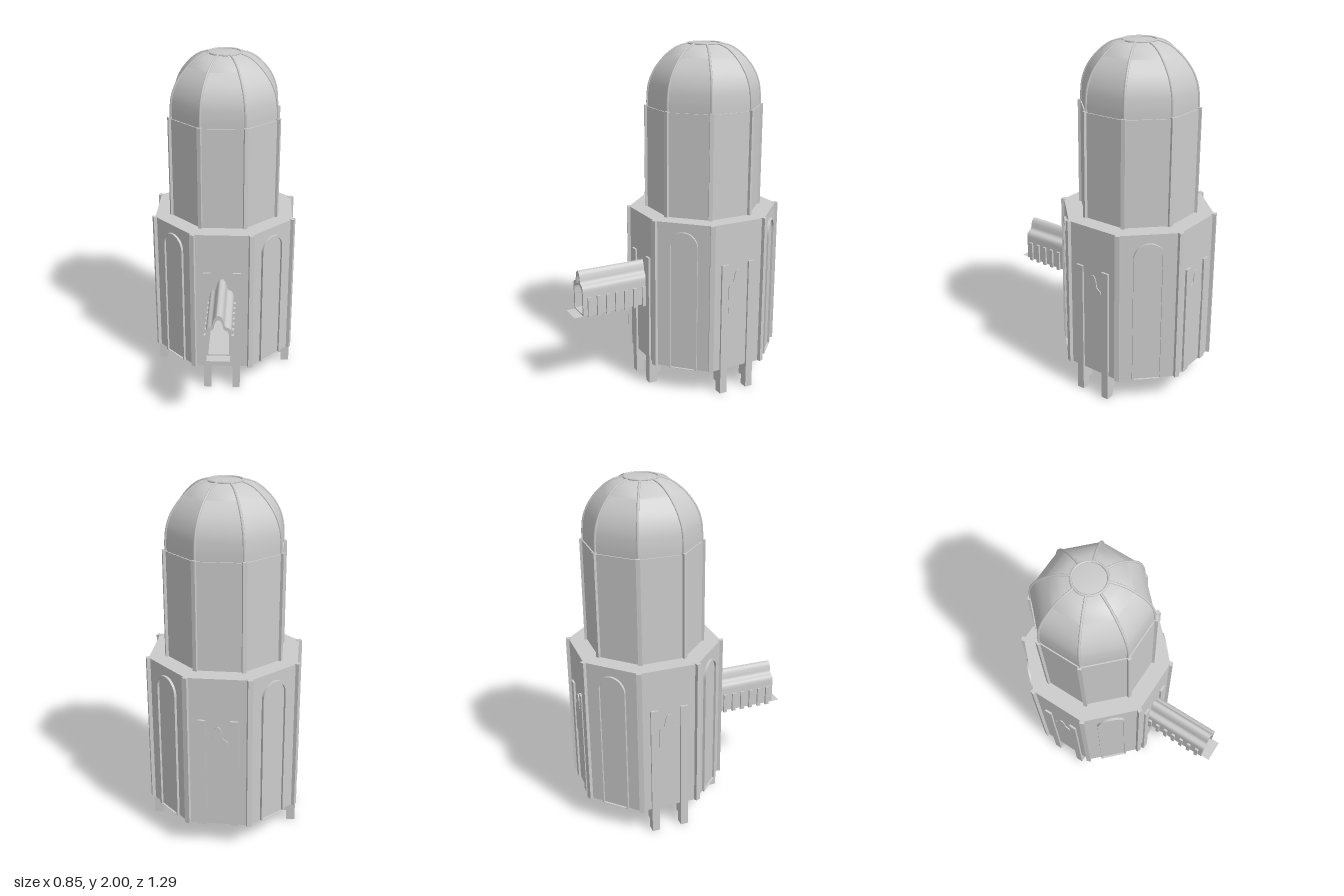
import * as THREE from 'three';
import { toCreasedNormals } from 'three/addons/utils/BufferGeometryUtils.js';

const C8 = Math.cos(Math.PI / 8);
const flat = new THREE.MeshStandardMaterial({ color: 0xcccccc, flatShading: true, side: THREE.DoubleSide });
const smooth = new THREE.MeshStandardMaterial({ color: 0xcccccc, side: THREE.DoubleSide });

function add(parent, name, geometry, material = flat) {
  const mesh = new THREE.Mesh(geometry, material);
  mesh.name = name;
  parent.add(mesh);
  return mesh;
}

// Box given by its limits on each axis
function box(parent, name, x0, x1, y0, y1, z0, z1) {
  const mesh = add(parent, name, new THREE.BoxGeometry(x1 - x0, y1 - y0, z1 - z0));
  mesh.position.set((x0 + x1) / 2, (y0 + y1) / 2, (z0 + z1) / 2);
  return mesh;
}

// Eight-sided lathe from [apothem, y] pairs, with a flat side facing front
function octagon(profile) {
  const points = profile.map(([a, y]) => new THREE.Vector2(a / C8, y));
  return new THREE.LatheGeometry(points, 8, Math.PI / 8);
}

// Upright bars on the corners of an octagon
function cornerStrips(parent, name, apothem, y0, y1, size) {
  for (let k = 0; k < 8; k++) {
    const arm = new THREE.Group();
    arm.rotation.y = Math.PI / 8 + k * Math.PI / 4;
    const r = apothem / C8;
    box(arm, name, -size / 2, size / 2, y0, y1, r - size / 2, r + size / 2);
    parent.add(arm);
  }
}

// Round-headed outline
function archShape(w, y0, top) {
  const s = new THREE.Shape();
  s.moveTo(-w, y0);
  s.lineTo(w, y0);
  s.lineTo(w, top - w);
  s.absarc(0, top - w, w, 0, Math.PI, false);
  s.closePath();
  return s;
}

// Ogee-headed outline: straight sides, shoulders and a raised crown
function ogeeShape(w, y0, shoulder, top) {
  const h = top - shoulder;
  const s = new THREE.Shape();
  s.moveTo(-w, y0);
  s.lineTo(w, y0);
  s.lineTo(w, shoulder);
  s.bezierCurveTo(w, shoulder + h * 0.5, w * 0.45, shoulder + h * 0.2, w * 0.42, shoulder + h * 0.6);
  s.quadraticCurveTo(w * 0.3, top, 0, top);
  s.quadraticCurveTo(-w * 0.3, top, -w * 0.42, shoulder + h * 0.6);
  s.bezierCurveTo(-w * 0.45, shoulder + h * 0.2, -w, shoulder + h * 0.5, -w, shoulder);
  return s;
}

function extrude(shape, depth) {
  return new THREE.ExtrudeGeometry(shape, { depth, bevelEnabled: false, curveSegments: 10 });
}

// Legs and pointed panel on a straight side
function pillarFace(face, isBack) {
  for (const s of [-1, 1]) {
    const x = s * 0.088;
    box(face, 'pillarLeg', x - 0.022, x + 0.022, isBack ? 0.15 : 0, 0.8, 0.37, 0.42);
    if (!isBack) box(face, 'legBracket', x - 0.022, x + 0.022, 0.06, 0.2, 0.345, 0.37);
  }
  add(face, 'pointedPanel', extrude(ogeeShape(0.06, 0.5, 0.64, 0.76), 0.012)).position.z = 0.402;
}

// Round-headed blind window with an inner lattice on a diagonal side
function windowFace(face) {
  const frame = archShape(0.085, 0.15, 0.99);
  frame.holes.push(archShape(0.073, 0.152, 0.978));
  add(face, 'windowFrame', extrude(frame, 0.02)).position.z = 0.402;
  add(face, 'windowPanel', extrude(archShape(0.074, 0.152, 0.979), 0.008)).position.z = 0.402;
  for (const s of [-1, 1]) {
    box(face, 'latticeSide', s * 0.075 - 0.006, s * 0.075 + 0.006, 0.15, 0.92, 0.372, 0.386);
    for (let i = 0; i < 9; i++) {
      const bar = box(face, 'latticeBar', -0.005, 0.005, -0.08, 0.08, 0.374, 0.384);
      bar.position.y = 0.21 + i * 0.08;
      bar.rotation.z = s * 1.05;
    }
  }
  box(face, 'latticeSill', -0.08, 0.08, 0.15, 0.165, 0.36, 0.386);
}

// Covered walkway reaching forward from the front side
function walkway(parent) {
  const g = new THREE.Group();
  g.name = 'walkway';
  const shape = ogeeShape(0.071, 0.503, 0.645, 0.757);
  shape.holes.push(ogeeShape(0.057, 0.51, 0.63, 0.73));
  const tunnel = add(g, 'walkwayCanopy', toCreasedNormals(extrude(shape, 0.403), 0.6), smooth);
  tunnel.position.z = 0.19;
  const floor = add(g, 'walkwayFloor', new THREE.PlaneGeometry(0.13, 0.455));
  floor.rotation.x = -Math.PI / 2;
  floor.position.set(0, 0.5, 0.4175);
  for (let i = 0; i < 7; i++) {
    const z = 0.213 + i * 0.057;
    for (const s of [-1, 1]) {
      box(g, 'walkwayPost', s * 0.074 - 0.009, s * 0.074 + 0.009, 0.495, 0.615, z - 0.011, z + 0.011);
    }
  }
  parent.add(g);
}

export function createModel() {
  const model = new THREE.Group();
  const tower = new THREE.Group();
  tower.name = 'tower';
  tower.position.z = -0.222;
  model.add(tower);

  // Hollow lower body, open underneath, with a flat terrace
  add(tower, 'lowerBody', octagon([
    [0.385, 1.02], [0.385, 0.15], [0.408, 0.15], [0.408, 1.04], [0.3, 1.04],
  ]));
  add(tower, 'innerCeiling', octagon([[0.385, 1.02], [0, 1.02]]));
  const core = add(tower, 'innerColumn', new THREE.CylinderGeometry(0.135, 0.135, 0.63, 32), smooth);
  core.position.y = 0.705;
  cornerStrips(tower, 'lowerCornerStrip', 0.408, 0.15, 1.043, 0.028);

  // Upper drum with a narrow ledge
  add(tower, 'upperDrum', octagon([[0.31, 1.03], [0.31, 1.638], [0.28, 1.638]]));
  cornerStrips(tower, 'drumCornerStrip', 0.31, 1.04, 1.645, 0.022);

  // Eight-sided dome with a flat crown
  const curve = new THREE.SplineCurve([
    [0.303, 1.63], [0.302, 1.7], [0.292, 1.775], [0.262, 1.85],
    [0.21, 1.92], [0.15, 1.97], [0.085, 1.993],
  ].map(([x, y]) => new THREE.Vector2(x, y)));
  const profile = curve.getPoints(28).map((p) => [p.x, p.y]);
  add(tower, 'dome', toCreasedNormals(octagon([...profile, [0, 1.99]]), 0.55), smooth);

  // Ribs along the dome edges and a ring around the crown
  const path = new THREE.CatmullRomCurve3(profile.map(([a, y]) => new THREE.Vector3(0, y, a / C8)));
  for (let k = 0; k < 8; k++) {
    const rib = add(tower, 'domeRib', new THREE.TubeGeometry(path, 28, 0.007, 6), smooth);
    rib.rotation.y = Math.PI / 8 + k * Math.PI / 4;
  }
  const ring = add(tower, 'crownRing', new THREE.TorusGeometry(0.092, 0.007, 6, 32), smooth);
  ring.rotation.x = Math.PI / 2;
  ring.position.y = 1.993;

  // Alternate pillared and windowed sides
  for (let k = 0; k < 8; k++) {
    const face = new THREE.Group();
    face.name = k % 2 ? 'windowSide' : 'pillarSide';
    face.rotation.y = k * Math.PI / 4;
    if (k % 2) windowFace(face);
    else pillarFace(face, k === 4);
    tower.add(face);
  }

  walkway(model);
  return model;
}
